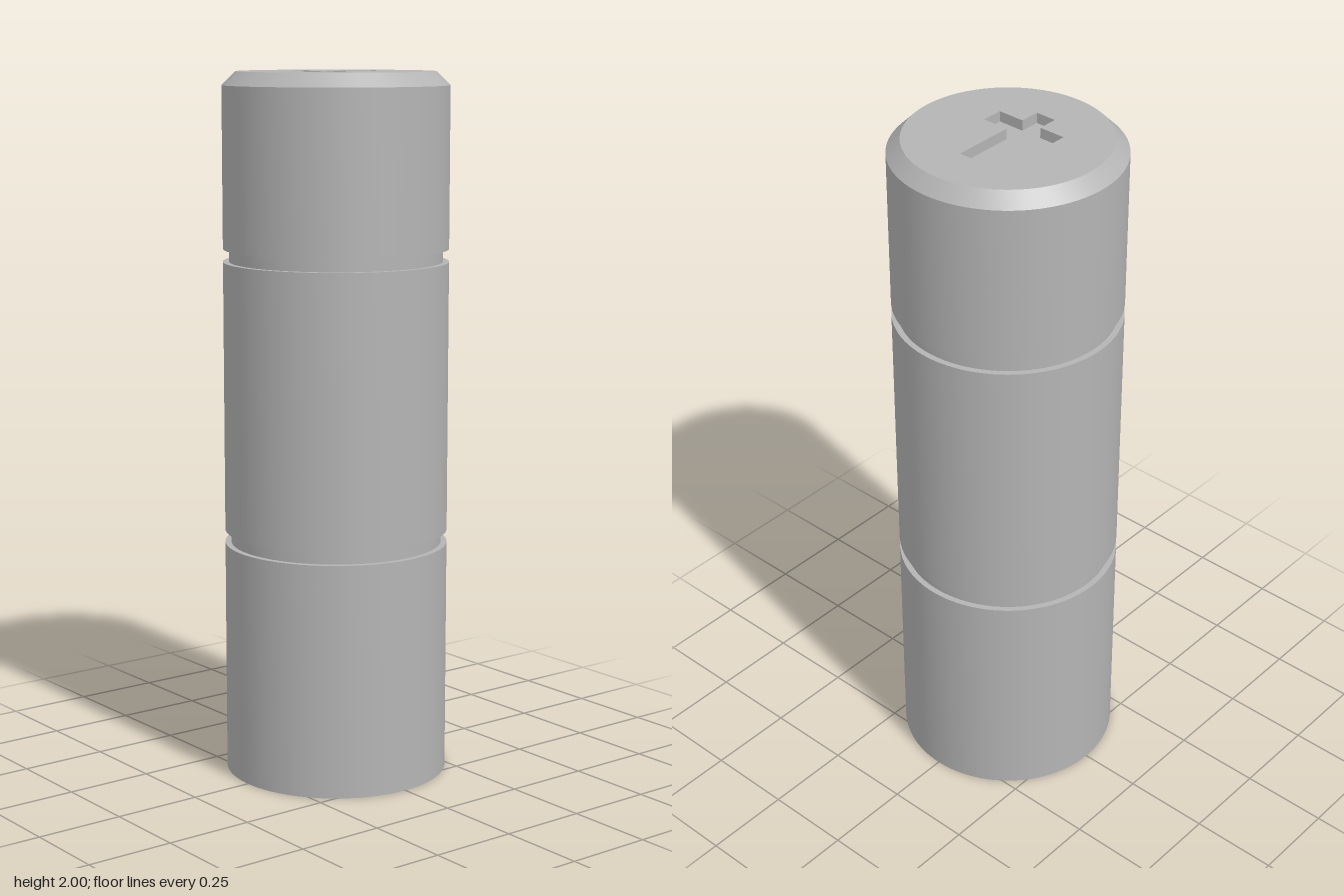
import * as THREE from 'three';
import { toCreasedNormals } from 'three/addons/utils/BufferGeometryUtils.js';

export function createModel() {
  const model = new THREE.Group();
  model.name = 'groovedPin';
  const grey = new THREE.MeshStandardMaterial({ color: 0xb4b4b4 });
  grey.name = 'plain grey';

  const SEGMENTS = 96, HEIGHT = 2, R = 0.318, TOP_R = 0.28, DEPTH = 0.03;

  const add = (name, geometry) => {
    const mesh = new THREE.Mesh(geometry, grey);
    mesh.name = name;
    model.add(mesh);
  };

  // Turned body: ring slot in the base, two grooves, chamfered top edge
  const profile = [[0, 0], [0.09, 0], [0.09, DEPTH], [0.115, DEPTH], [0.115, 0], [R, 0]];
  for (const [low, high] of [[0.667, 0.703], [1.472, 1.508]]) {
    profile.push([R, low], [0.301, low], [0.301, high], [R, high]);
  }
  profile.push([R, 1.962], [TOP_R, HEIGHT]);
  const body = new THREE.LatheGeometry(profile.map(([x, y]) => new THREE.Vector2(x, y)), SEGMENTS);
  add('body', toCreasedNormals(body, Math.PI / 6));

  // Cross outline, anticlockwise seen from above
  const half = 0.031, arm = 0.11, end = 0.15, armLeft = -0.092, armRight = -0.03;
  const cross = [
    [-end, -half], [armLeft, -half], [armLeft, -arm], [armRight, -arm],
    [armRight, -half], [end, -half], [end, half], [armRight, half],
    [armRight, arm], [armLeft, arm], [armLeft, half], [-end, half],
  ].map(([x, y]) => new THREE.Vector2(x, y));

  // Flat top with the cross cut out
  const disc = new THREE.Shape().absarc(0, 0, TOP_R, 0, Math.PI * 2, false);
  disc.holes.push(new THREE.Path(cross));
  add('topFace', new THREE.ShapeGeometry(disc, SEGMENTS / 2)
    .rotateX(-Math.PI / 2).translate(0, HEIGHT, 0));

  // Floor of the recess
  add('recessFloor', new THREE.ShapeGeometry(new THREE.Shape(cross))
    .rotateX(-Math.PI / 2).translate(0, HEIGHT - DEPTH, 0));

  // Walls of the recess, facing inward
  const walls = [];
  cross.forEach((a, i) => {
    const b = cross[(i + 1) % cross.length];
    const a0 = [a.x, a.y, -DEPTH], a1 = [a.x, a.y, 0];
    const b0 = [b.x, b.y, -DEPTH], b1 = [b.x, b.y, 0];
    walls.push(...a0, ...a1, ...b1, ...a0, ...b1, ...b0);
  });
  const wallGeometry = new THREE.BufferGeometry();
  wallGeometry.setAttribute('position', new THREE.Float32BufferAttribute(walls, 3));
  wallGeometry.computeVertexNormals();
  add('recessWalls', wallGeometry.rotateX(-Math.PI / 2).translate(0, HEIGHT, 0));

  return model;
}
